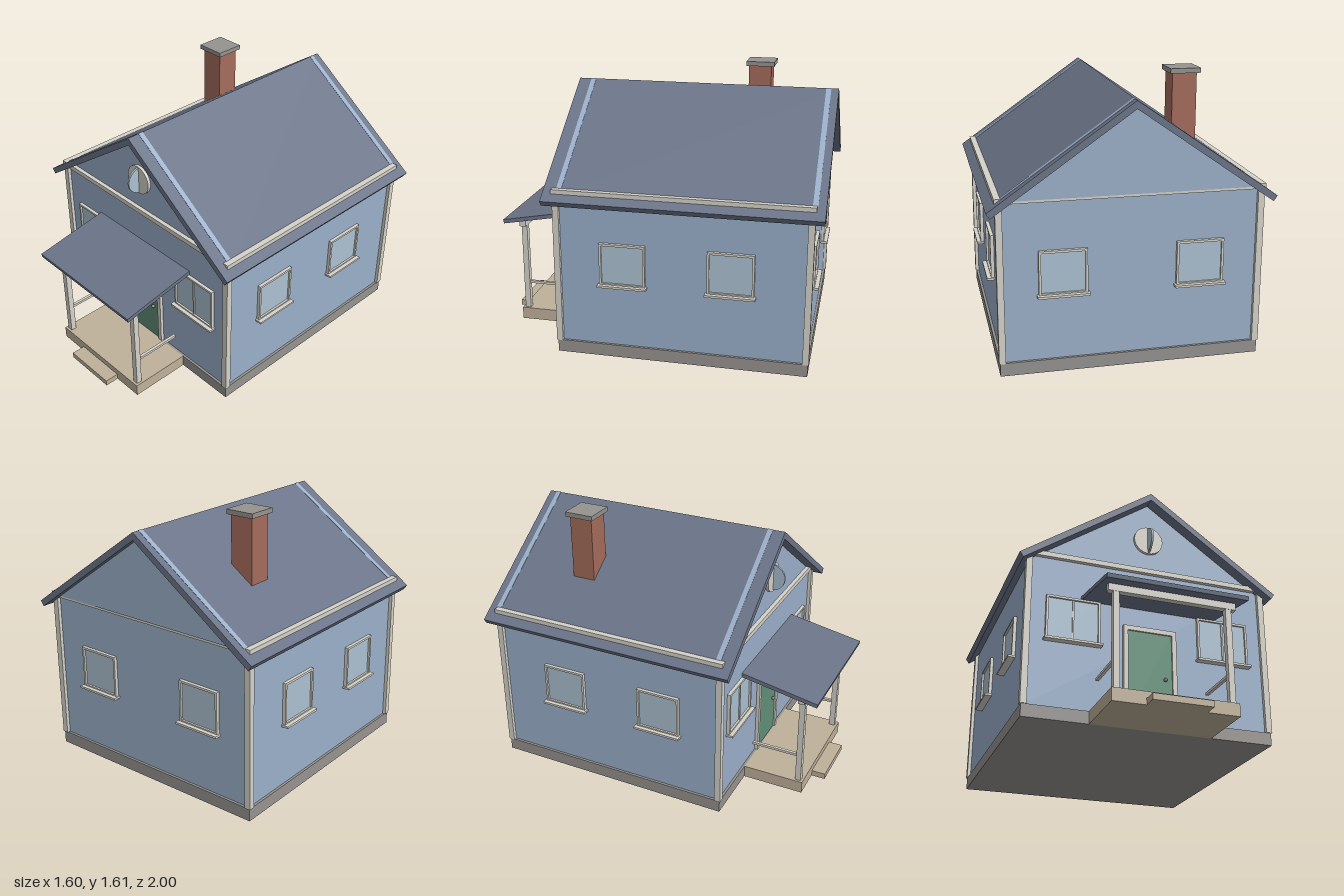
import * as THREE from 'three';

const mat = (color) => new THREE.MeshStandardMaterial({ color });

export function createModel() {
  const M = {
    wall: mat(0x9bb0ca), trim: mat(0xd6d3ca), roof: mat(0x6b7488), door: mat(0x5f8f78),
    glass: mat(0xacc1d1), deck: mat(0xc0b19b), stone: mat(0x969390), brick: mat(0xa56c5c), metal: mat(0x8c8c8c),
  };
  const house = new THREE.Group();
  house.name = 'house';

  const add = (parent, name, geometry, material) => {
    const mesh = new THREE.Mesh(geometry, material);
    mesh.name = name;
    parent.add(mesh);
    return mesh;
  };
  // Box given by its minimum and maximum along each axis
  const box = (parent, name, material, x0, x1, y0, y1, z0, z1) => {
    const mesh = add(parent, name, new THREE.BoxGeometry(x1 - x0, y1 - y0, z1 - z0), material);
    mesh.position.set((x0 + x1) / 2, (y0 + y1) / 2, (z0 + z1) / 2);
    return mesh;
  };
  // Polygon in x, y extruded along z
  const prism = (parent, name, material, points, z0, z1) => {
    const shape = new THREE.Shape(points.map(([x, y]) => new THREE.Vector2(x, y)));
    const geometry = new THREE.ExtrudeGeometry(shape, { depth: z1 - z0, bevelEnabled: false });
    return add(parent, name, geometry.translate(0, 0, z0), material);
  };

  // Foundation and walls
  box(house, 'foundation', M.stone, -0.74, 0.74, 0, 0.075, -0.94, 0.54);
  box(house, 'walls', M.wall, -0.725, 0.725, 0.075, 0.998, -0.925, 0.525);

  // Gables, whose sloping edges show as thin strips in the roof
  for (const [name, z] of [['frontGable', 0.495], ['backGable', -0.955]]) {
    prism(house, name, M.wall, [[-0.725, 1], [0.725, 1], [0.715, 1.0165], [0, 1.517], [-0.715, 1.0165]], z, z + 0.03);
  }

  // Corner boards and the band under the gables
  for (const s of [-1, 1]) {
    for (const z of [0.5275, -0.9275]) {
      box(house, 'cornerBoard', M.trim, s * 0.7275 - 0.0185, s * 0.7275 + 0.0185, 0.075, 1, z - 0.0185, z + 0.0185);
    }
    box(house, 'sideBand', M.trim, s * 0.7325 - 0.0175, s * 0.7325 + 0.0175, 0.985, 1.015, -0.95, 0.55);
  }
  box(house, 'frontBand', M.trim, -0.75, 0.75, 0.985, 1.015, 0.515, 0.55);
  box(house, 'backBand', M.trim, -0.75, 0.75, 0.985, 1.015, -0.95, -0.915);

  // Main roof
  prism(house, 'roof', M.roof, [[0, 1.515], [-0.798, 0.956], [-0.777, 0.925], [0, 1.47], [0.777, 0.925], [0.798, 0.956]], -1, 0.6);

  // Chimney
  box(house, 'chimney', M.brick, -0.46, -0.317, 1, 1.577, -0.56, -0.418);
  box(house, 'chimneyCap', M.stone, -0.478, -0.3, 1.577, 1.605, -0.58, -0.402);

  // Round gable window with an upright pane through it
  const rim = add(house, 'gableWindowRim', new THREE.CylinderGeometry(0.09, 0.09, 0.03, 32), M.trim);
  rim.rotation.x = Math.PI / 2;
  rim.position.set(0, 1.215, 0.528);
  const pane = add(house, 'gableWindowPane', new THREE.CylinderGeometry(0.083, 0.083, 0.012, 32), M.glass);
  pane.rotation.z = Math.PI / 2;
  pane.position.set(0, 1.215, 0.532);

  // Window facing +z around its own centre, wall plane at z = 0
  const addWindow = (x, y, z, turn, w, h, divided) => {
    const g = new THREE.Group();
    g.name = 'window';
    const a = w / 2, b = h / 2, t = 0.013;
    box(g, 'windowPane', M.glass, -a + t, a - t, -b + t, b - t, -0.01, 0.008);
    for (const s of [-1, 1]) {
      const c = s * (a - t / 2), d = s * (b - t / 2);
      box(g, 'windowJamb', M.trim, c - t / 2, c + t / 2, -b, b, -0.01, 0.02);
      box(g, 'windowRail', M.trim, -a + t, a - t, d - t / 2, d + t / 2, -0.01, 0.02);
    }
    if (divided) box(g, 'windowMullion', M.trim, -0.005, 0.005, -b + t, b - t, -0.01, 0.015);
    box(g, 'windowSill', M.trim, -a - 0.01, a + 0.01, -b - 0.008, -b + 0.005, -0.01, 0.044);
    g.position.set(x, y, z);
    g.rotation.y = turn;
    house.add(g);
  };
  for (const s of [-1, 1]) {
    addWindow(s * 0.46, 0.608, 0.525, 0, 0.32, 0.272, true);
    addWindow(s * 0.385, 0.581, -0.925, Math.PI, 0.27, 0.255, false);
    for (const z of [0.14, -0.49]) addWindow(s * 0.725, 0.581, z, s * Math.PI / 2, 0.27, 0.255, false);
  }

  // Front door
  box(house, 'door', M.door, -0.135, 0.135, 0.075, 0.598, 0.515, 0.535);
  for (const s of [-1, 1]) box(house, 'doorJamb', M.trim, s * 0.148 - 0.0135, s * 0.148 + 0.0135, 0.075, 0.598, 0.515, 0.546);
  box(house, 'doorHead', M.trim, -0.1615, 0.1615, 0.598, 0.626, 0.515, 0.546);
  add(house, 'doorKnob', new THREE.SphereGeometry(0.011, 16, 12), M.metal).position.set(0.09, 0.317, 0.544);

  // Porch deck, step, posts, rails and beam
  box(house, 'porchDeck', M.deck, -0.36, 0.36, 0, 0.075, 0.54, 0.915);
  box(house, 'porchStep', M.deck, -0.17, 0.17, 0, 0.036, 0.915, 1);
  for (const s of [-1, 1]) {
    box(house, 'porchPost', M.trim, s * 0.328 - 0.0175, s * 0.328 + 0.0175, 0.075, 0.64, 0.865, 0.9);
    box(house, 'porchRail', M.trim, s * 0.328 - 0.009, s * 0.328 + 0.009, 0.24, 0.256, 0.578, 0.87);
  }
  box(house, 'porchBeam', M.trim, -0.374, 0.374, 0.635, 0.68, 0.863, 0.902);

  // Sloping porch roof
  const slope = Math.atan2(0.085, 0.46);
  const porchRoof = add(house, 'porchRoof', new THREE.BoxGeometry(0.824, 0.025, 0.48), M.roof);
  porchRoof.rotation.x = slope;
  porchRoof.position.set(0, 0.716, 0.755);

  return house;
}
